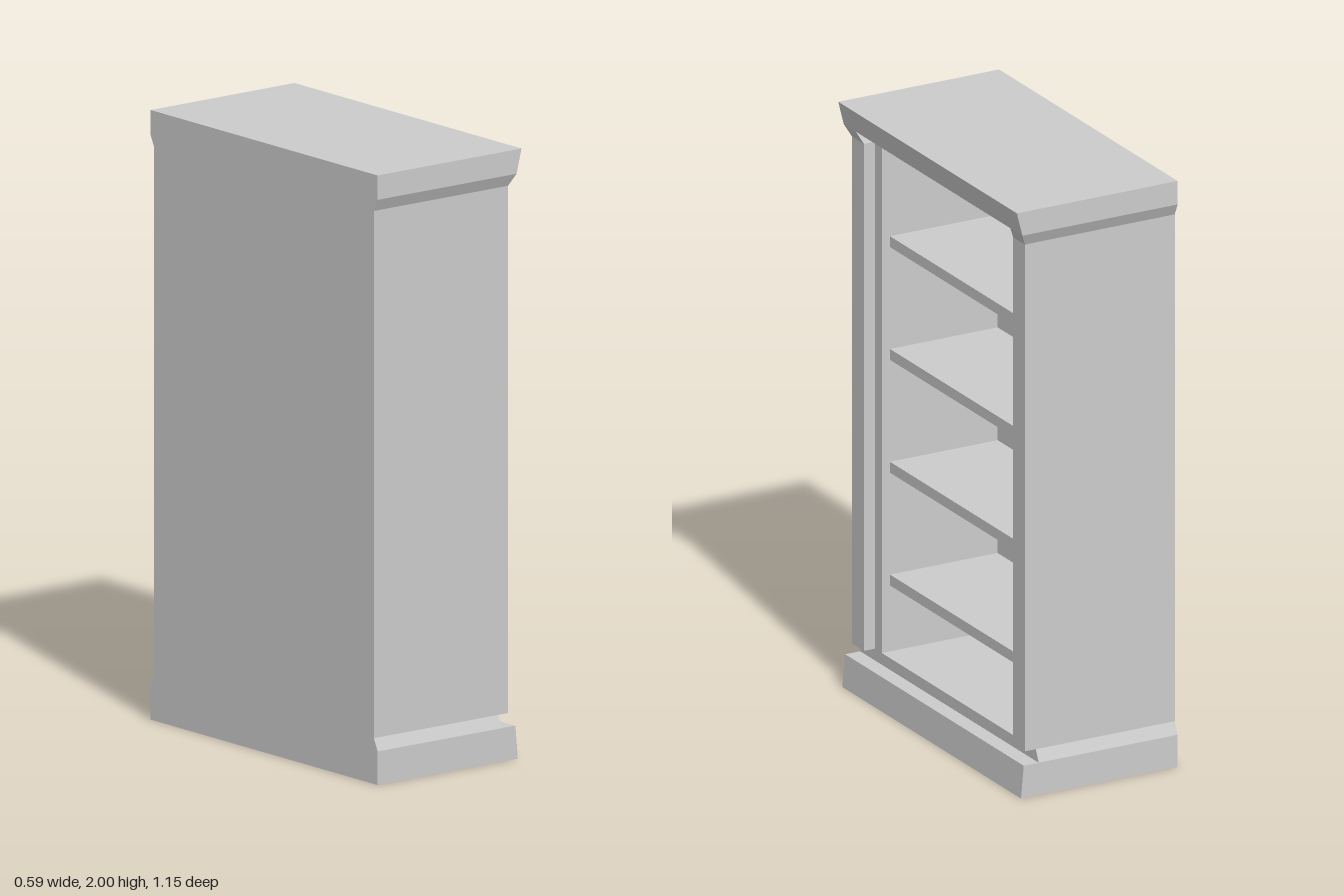
import * as THREE from 'three';

const material = new THREE.MeshStandardMaterial({ color: 0xcccccc, flatShading: true });
const BACK = -0.295;

// Block between heights y0 and y1; each rect is [xMin, xMax, zMin, zMax], the upper one may differ.
function block(name, y0, y1, lower, upper = lower) {
  const geometry = new THREE.BoxGeometry(1, 1, 1);
  const p = geometry.attributes.position;
  for (let i = 0; i < p.count; i++) {
    const top = p.getY(i) > 0;
    const r = top ? upper : lower;
    p.setXYZ(i, p.getX(i) > 0 ? r[1] : r[0], top ? y1 : y0, p.getZ(i) > 0 ? r[3] : r[2]);
  }
  geometry.computeVertexNormals();
  const mesh = new THREE.Mesh(geometry, material);
  mesh.name = name;
  return mesh;
}

export function createModel() {
  const bookcase = new THREE.Group();
  bookcase.name = 'bookcase';
  const outer = 0.558, flare = 0.577, inner = 0.437, frame = 0.215;

  // Plinth with a slightly sloped front, and the bevelled cabinet floor
  bookcase.add(
    block('plinth', 0, 0.11, [BACK, 0.28, -flare, flare], [BACK, 0.27, -flare, flare]),
    block('cabinetFloor', 0.11, 0.15, [BACK, frame, -flare, flare], [BACK, frame, -outer, outer])
  );

  // Back panel
  bookcase.add(block('backPanel', 0.15, 1.88, [BACK, -0.21, -inner, inner]));

  // Side walls, front pilasters and their flared capitals
  for (const s of [1, -1]) {
    const span = (x0, x1, a, b) => [x0, x1, Math.min(s * a, s * b), Math.max(s * a, s * b)];
    bookcase.add(
      block('sideWall', 0.15, 1.88, span(BACK, frame, inner, outer)),
      block('pilaster', 0.15, 1.88, span(frame, 0.255, 0.482, outer)),
      block('pilasterCapital', 1.88, 1.92,
        span(frame, 0.255, 0.482, outer), span(frame, 0.275, 0.5, flare))
    );
  }

  // Shelves
  for (let i = 0; i < 4; i++) {
    const y = 0.375 + i * 0.385;
    bookcase.add(block('shelf', y, y + 0.037, [-0.21, 0.185, -inner, inner]));
  }

  // Bevelled ceiling and crown
  bookcase.add(
    block('ceiling', 1.88, 1.92, [BACK, frame, -outer, outer], [BACK, 0.235, -flare, flare]),
    block('crown', 1.92, 2, [BACK, 0.275, -flare, flare], [BACK, 0.295, -flare, flare])
  );
  return bookcase;
}
